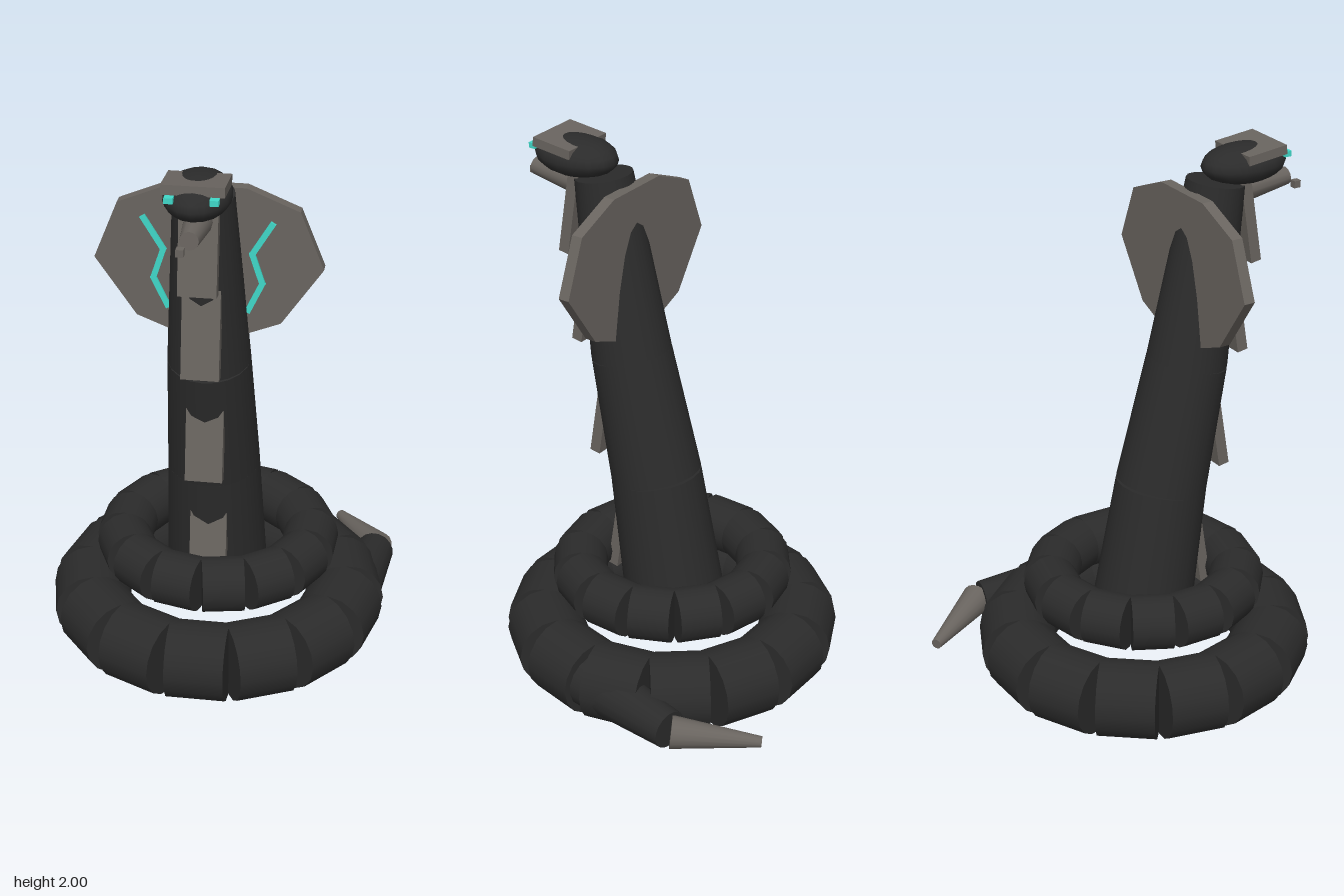
import * as THREE from 'three';

const mat = (name, color) => {
  const m = new THREE.MeshStandardMaterial({ color });
  m.name = name;
  return m;
};

export function createModel() {
  const dark = mat('dark scales', 0x2b2b2b);
  const grey = mat('warm grey plating', 0x69645f);
  const teal = mat('teal glow', 0x40d8c8);

  const model = new THREE.Group();
  model.name = 'serpent';
  const CX = -0.01; // body axis in x

  const add = (name, geometry, material, x = 0, y = 0, z = 0, parent = model) => {
    const mesh = new THREE.Mesh(geometry, material);
    mesh.name = name;
    mesh.position.set(x, y, z);
    parent.add(mesh);
    return mesh;
  };

  // Tapered cylinder running from point a (radius ra) to point b (radius rb)
  const limb = (name, a, b, ra, rb, material, sides = 16) => {
    const from = new THREE.Vector3(...a), to = new THREE.Vector3(...b);
    const dir = to.clone().sub(from);
    const mesh = add(name, new THREE.CylinderGeometry(rb, ra, dir.length(), sides), material);
    mesh.position.copy(from).addScaledVector(dir, 0.5);
    mesh.quaternion.setFromUnitVectors(new THREE.Vector3(0, 1, 0), dir.normalize());
    return mesh;
  };

  // Coils: rings of straight segments laid end to end
  const coil = (name, count, ringRadius, tube, length, y, phase) => {
    const ring = new THREE.Group();
    ring.name = name;
    ring.position.set(-0.006, y, 0.024);
    const geo = new THREE.CylinderGeometry(tube, tube, length, 16).rotateZ(Math.PI / 2);
    for (let i = 0; i < count; i++) {
      const a = phase + (i / count) * Math.PI * 2;
      const seg = add('coilSegment', geo, dark, Math.sin(a) * ringRadius, 0, -Math.cos(a) * ringRadius, ring);
      seg.rotation.y = -a;
    }
    model.add(ring);
  };
  coil('lowerCoil', 14, 0.469, 0.142, 0.212, 0.143, 0);
  coil('upperCoil', 14, 0.34, 0.1, 0.15, 0.385, 0.253);

  // Raised neck: tapered sections leaning forward
  const neck = [
    [0.27, 0.015, 0.186],
    [0.755, 0.097, 0.167],
    [1.22, 0.204, 0.147],
    [1.88, 0.318, 0.105],
  ];
  for (let i = 0; i < neck.length - 1; i++) {
    const [y0, z0, r0] = neck[i], [y1, z1, r1] = neck[i + 1];
    limb('neckSection', [CX, y0, z0], [CX, y1, z1], r0, r1, dark, 20);
  }

  // Belly plates, kicked out at the bottom edge: [bottom y, bottom z]
  const plate = new THREE.BoxGeometry(0.132, 0.32, 0.042).translate(0, 0.16, 0);
  for (const [y, z] of [[0.33, 0.255], [0.795, 0.33], [1.235, 0.403], [1.57, 0.453]]) {
    add('bellyPlate', plate, grey, CX, y, z).rotation.x = -0.16;
  }

  // Hood: flat ten-sided shield behind the neck
  const half = [[0.13, 1.863], [0.312, 1.787], [0.394, 1.58], [0.25, 1.37], [0.13, 1.322]];
  const outline = [...half, ...half.map(([x, y]) => [-x, y]).reverse()];
  const hood = new THREE.Shape(outline.map(([x, y]) => new THREE.Vector2(x, y)));
  add('hood', new THREE.ExtrudeGeometry(hood, { depth: 0.042, bevelEnabled: false }), grey, CX, 0, 0.175);

  // Glowing zigzag marks on both sides of the hood
  const zigzag = [[0.22, 1.745], [0.152, 1.632], [0.187, 1.525], [0.138, 1.42]];
  for (const side of [-1, 1]) {
    for (let i = 0; i < zigzag.length - 1; i++) {
      const [x0, y0] = zigzag[i], [x1, y1] = zigzag[i + 1];
      const dx = side * (x1 - x0), dy = y1 - y0;
      const bar = add('hoodMark', new THREE.BoxGeometry(0.02, Math.hypot(dx, dy) + 0.012, 0.0095), teal,
        CX + side * (x0 + x1) / 2, (y0 + y1) / 2, 0.234);
      bar.rotation.z = Math.atan2(dx, -dy);
    }
  }

  // Head, brow plate and eyes
  const head = add('head', new THREE.SphereGeometry(1, 16, 10), dark, CX, 1.926, 0.435);
  head.scale.set(0.115, 0.07, 0.165);
  add('browPlate', new THREE.BoxGeometry(0.21, 0.034, 0.16), grey, CX, 1.974, 0.466).rotation.x = -0.1;
  for (const side of [-1, 1]) {
    add('eye', new THREE.BoxGeometry(0.03, 0.02, 0.026), teal, CX + side * 0.074, 1.957, 0.564);
  }

  // Lower jaw and the small tongue tip in front of it
  limb('jaw', [CX, 1.825, 0.39], [CX, 1.842, 0.62], 0.052, 0.032, grey, 12);
  add('tongueTip', new THREE.BoxGeometry(0.026, 0.026, 0.026), grey, -0.035, 1.814, 0.646);

  // Tail leaving the lower coil, with a grey tapering tip
  limb('tail', [0.487, 0.14, 0.04], [0.553, 0.125, -0.365], 0.105, 0.071, dark);
  limb('tailTip', [0.564, 0.128, -0.378], [0.392, 0.097, -0.648], 0.06, 0.02, grey);

  return model;
}
